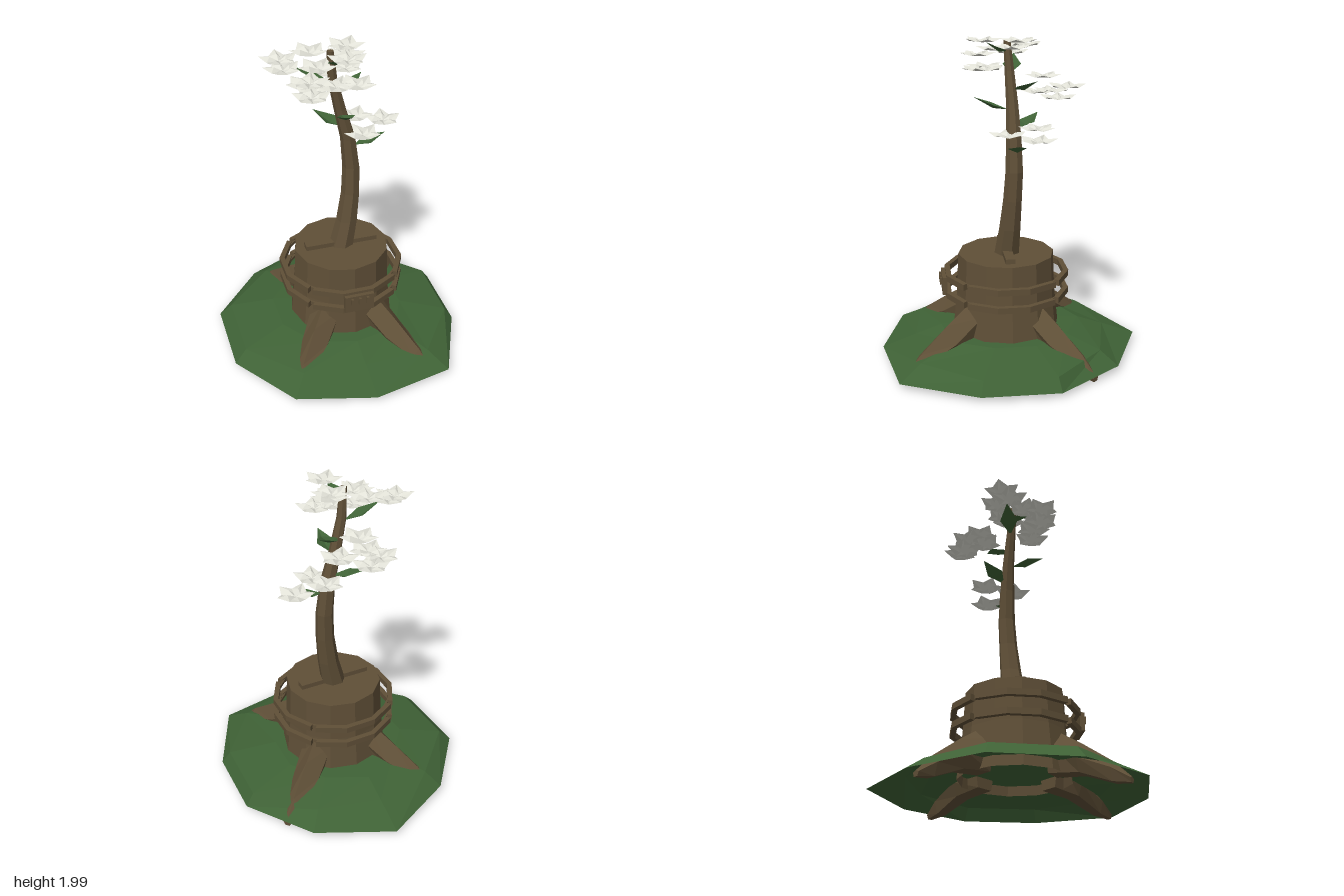
import * as THREE from 'three';

const mat = (name, color) => {
  const m = new THREE.MeshStandardMaterial({ color, flatShading: true, side: THREE.DoubleSide });
  m.name = name;
  return m;
};
const V = (x, y, z) => new THREE.Vector3(x, y, z);

const toGeometry = (points) => {
  const g = new THREE.BufferGeometry().setFromPoints(points);
  g.computeVertexNormals();
  return g;
};

// Skin through rings of equal point count, capped at the end and, unless open, at the start.
function loft(rings, open = false) {
  const pts = [];
  const mid = (r) => r.reduce((s, p) => s.add(p), V(0, 0, 0)).divideScalar(r.length);
  const n = rings[0].length, first = rings[0], last = rings[rings.length - 1];
  const c0 = mid(first), c1 = mid(last);
  for (let i = 0; i < n; i++) {
    const j = (i + 1) % n;
    for (let k = 0; k < rings.length - 1; k++) {
      const a = rings[k], b = rings[k + 1];
      pts.push(a[i], a[j], b[j], a[i], b[j], b[i]);
    }
    if (!open) pts.push(first[j], first[i], c0);
    pts.push(last[i], last[j], c1);
  }
  return toGeometry(pts);
}

const circle = (n, x, y, z, r) => Array.from({ length: n }, (_, i) => {
  const a = (i / n) * Math.PI * 2;
  return V(x + Math.sin(a) * r, y, z + Math.cos(a) * r);
});

// Hoop segment of three straight pieces centred on +x, rising from y = 0.
function hoopArc(outer, inner, angle, height) {
  const at = (r, i) => {
    const a = angle * (i / 3 - 0.5);
    return new THREE.Vector2(Math.cos(a) * r, Math.sin(a) * r);
  };
  const s = new THREE.Shape([...[0, 1, 2, 3].map((i) => at(outer, i)), ...[3, 2, 1, 0].map((i) => at(inner, i))]);
  return new THREE.ExtrudeGeometry(s, { depth: height, bevelEnabled: false }).rotateX(-Math.PI / 2);
}

// Root with a ridge along its back, running outward and diving through the mound.
function rootGeometry(cx, cz, tipX, tipZ) {
  const d = V(tipX - cx, 0, tipZ - cz), len = d.length();
  d.normalize();
  const side = V(0, 1, 0).cross(d);
  // fraction of length, ridge y, shoulder y, half width, bottom y
  const rows = [[0.34, 0.4, 0.31, 0.095, 0.12], [0.6, 0.28, 0.18, 0.085, 0.1],
    [0.86, 0.145, 0.1, 0.055, 0.025], [1, 0.045, 0.035, 0.025, 0.01]];
  return loft(rows.map(([t, top, mid, w, bot]) =>
    [[w, mid], [0, top], [-w, mid], [-w * 0.6, bot], [w * 0.6, bot]].map(([s, y]) =>
      V(cx, y, cz).addScaledVector(d, t * len).addScaledVector(side, s))));
}

// Five pointed petals, each folded up along its ridge, around a sunken heart.
function blossomGeometry() {
  const pts = [];
  const at = (i, r, y) => V(Math.sin(i * Math.PI / 5) * r, y, Math.cos(i * Math.PI / 5) * r);
  const inner = (i) => (i % 2 ? at(i, 0.036, 0) : at(i, 0.05, 0.021));
  const outer = (i) => (i % 2 ? at(i, 0.08, 0.004) : at(i, 0.117, 0.023));
  for (let i = 0; i < 10; i++) {
    pts.push(V(0, -0.004, 0), inner(i), inner(i + 1));
    pts.push(inner(i), outer(i), outer(i + 1));
    pts.push(inner(i), outer(i + 1), inner(i + 1));
  }
  return toGeometry(pts);
}

// Pointed leaf folded along its midrib.
function leafGeometry(base, tip) {
  const b = V(...base), t = V(...tip);
  const side = t.clone().sub(b).cross(V(0, 1, 0)).normalize();
  const m = b.clone().lerp(t, 0.45);
  const rib = m.clone().add(V(0, -0.025, 0));
  const l = m.clone().addScaledVector(side, -0.058), r = m.clone().addScaledVector(side, 0.058);
  return toGeometry([b, rib, l, l, rib, t, b, r, rib, r, t, rib]);
}

export function createModel() {
  const model = new THREE.Group();
  const grass = mat('grass green', 0x3f6236);
  const bark = mat('bark brown', 0x5f4f37);
  const petal = mat('petal white', 0xe2e2d8);
  const add = (name, geometry, material, x = 0, y = 0, z = 0) => {
    const m = new THREE.Mesh(geometry, material);
    m.name = name;
    m.position.set(x, y, z);
    model.add(m);
    return m;
  };
  const cx = 0.025, cz = 0.025;

  // Hollow faceted mound with an uneven ten-sided rim
  const rim = [[0.02, 0.82], [0.53, 0.72], [0.75, 0.26], [0.76, -0.21], [0.48, -0.61],
    [0.02, -0.83], [-0.44, -0.61], [-0.76, -0.23], [-0.75, 0.28], [-0.46, 0.69]];
  const shoulder = [0.74, 0.82, 0.93, 0.93, 0.84, 0.74, 0.85, 0.9, 0.9, 0.82];
  add('mound', loft([
    rim.map(([x, z]) => V(x, 0.045, z)),
    rim.map(([x, z], i) => V(x * shoulder[i], 0.122, z * shoulder[i])),
    rim.map(([x, z]) => V(x * 0.54, 0.178, z * 0.54)),
    rim.map(([x, z]) => V(x * 0.2, 0.19, z * 0.2)),
  ], true), grass);

  // Stump, open at the bottom where it passes through the mound
  add('stump', loft([[0.12, 0.345], [0.4, 0.315], [0.66, 0.303]].map(([y, r]) =>
    circle(12, cx, y, cz, r)), true), bark);

  // Roots
  for (const [x, z] of [[0.43, 0.68], [-0.43, 0.6], [-0.4, -0.56], [0.585, -0.445]]) {
    add('root', rootGeometry(cx, cz, x, z), bark);
  }

  // Two hoops, each in four arcs joined by thin links
  for (const y of [0.4, 0.515]) {
    for (let q = 0; q < 4; q++) {
      const turn = q * Math.PI / 2, a = turn + Math.PI / 4;
      add('hoop', hoopArc(0.398, 0.365, 1.49, 0.038), bark, cx, y, cz).rotation.y = turn;
      add('hoopLink', new THREE.BoxGeometry(0.012, 0.02, 0.1), bark,
        cx + Math.cos(a) * 0.36, y + 0.019, cz - Math.sin(a) * 0.36).rotation.y = a;
    }
  }

  // Front plate with three raised bars
  add('frontPlate', new THREE.BoxGeometry(0.185, 0.115, 0.03), bark, cx, 0.478, 0.42);
  for (const x of [-0.05, 0, 0.05]) {
    add('plateBar', new THREE.BoxGeometry(0.016, 0.045, 0.02), bark, cx + x, 0.5, 0.44);
  }

  // Plank across the stump top
  add('plank', new THREE.BoxGeometry(0.47, 0.03, 0.06), bark, cx, 0.675, cz);

  // Curved trunk: x, y, z, radius
  add('trunk', loft([[0.03, 0.65, 0.02, 0.08], [0.072, 0.83, 0.005, 0.068], [0.098, 1.02, -0.008, 0.059],
    [0.104, 1.2, -0.018, 0.055], [0.082, 1.4, -0.018, 0.048], [0.03, 1.6, -0.015, 0.038],
    [-0.018, 1.8, -0.004, 0.03], [-0.035, 1.98, 0.008, 0.021]].map(([x, y, z, r]) =>
    circle(7, x, y, z, r))), bark);

  // Leaves: base and tip
  const leaves = [[[0.07, 1.46, -0.04], [-0.09, 1.53, -0.19]], [[0.12, 1.34, -0.02], [0.32, 1.4, -0.02]],
    [[0.03, 1.57, 0.01], [0.03, 1.65, 0.22]], [[0.02, 1.69, -0.03], [0.2, 1.76, -0.14]],
    [[-0.03, 1.78, -0.01], [-0.24, 1.88, -0.06]], [[-0.03, 1.91, 0], [0, 1.97, 0.14]]];
  for (const [b, t] of leaves) add('leaf', leafGeometry(b, t), grass);

  // Blossoms
  const blossom = blossomGeometry();
  const spots = [[0.07, 1.975, -0.05], [0.02, 1.975, 0.16], [-0.13, 1.935, -0.11], [0.06, 1.935, -0.01],
    [-0.31, 1.91, -0.1], [-0.13, 1.91, 0.07], [-0.2, 1.87, 0.17], [-0.3, 1.87, -0.05],
    [-0.04, 1.815, 0.14], [-0.19, 1.78, 0.17], [0.08, 1.815, 0.15], [-0.02, 1.755, -0.21],
    [0.16, 1.715, -0.32], [-0.12, 1.65, -0.29], [-0.09, 1.65, -0.19], [-0.05, 1.615, -0.31],
    [0.16, 1.465, -0.15], [0.34, 1.43, -0.12], [0.16, 1.43, 0.03]];
  spots.forEach(([x, y, z], i) => {
    add('blossom', blossom, petal, x, y, z).rotation.y = i * 0.47;
  });

  return model;
}
